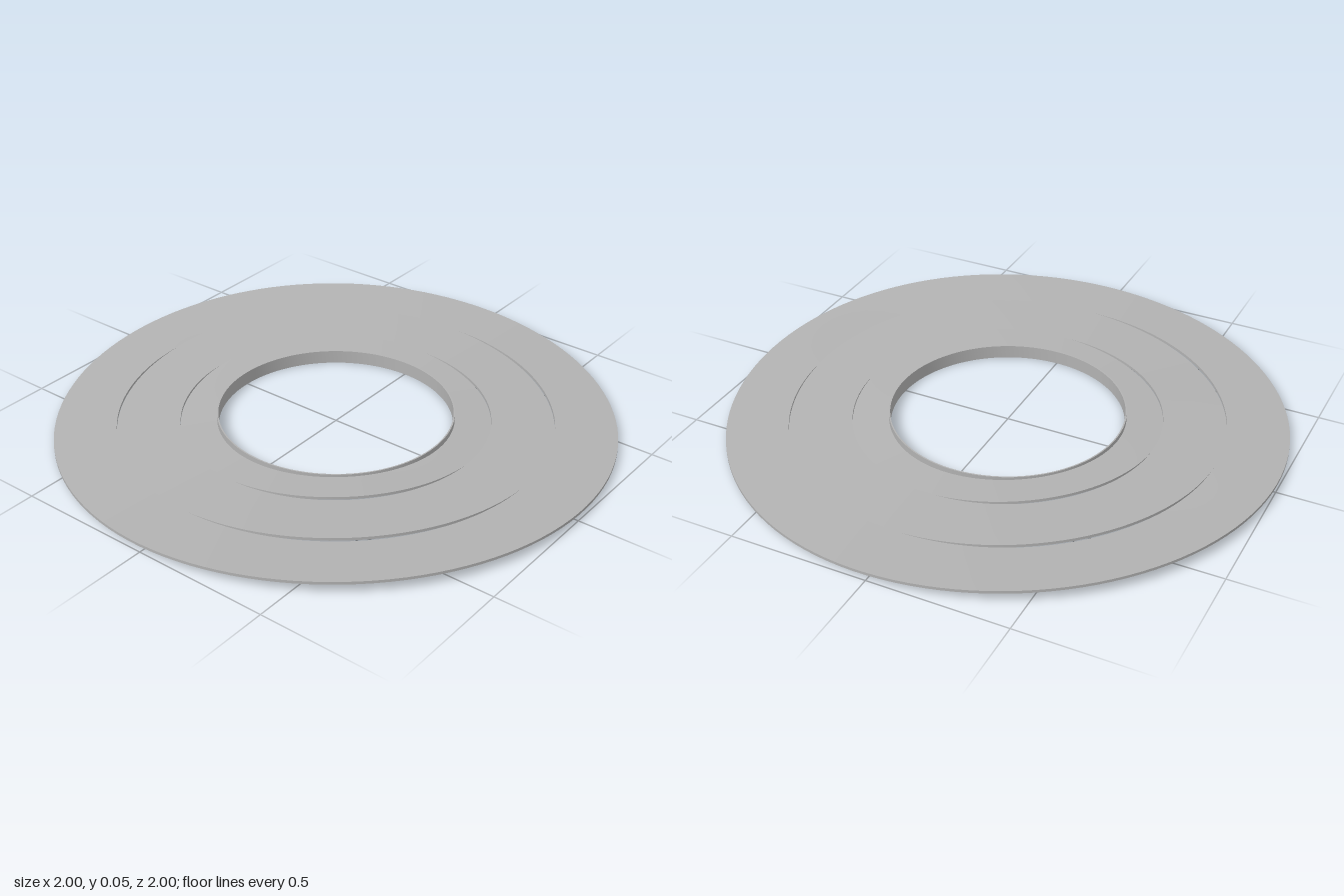
import * as THREE from 'three';
import { toCreasedNormals } from 'three/addons/utils/BufferGeometryUtils.js';

const MID = 0.0275; // height of the middle plane

// Ring with a rectangular section from bottom to top
function ringGeometry(r0, r1, bottom, top) {
  const profile = [[r0, bottom], [r1, bottom], [r1, top], [r0, top], [r0, bottom]]
    .map(([r, y]) => new THREE.Vector2(r, y));
  return new THREE.LatheGeometry(profile, 128);
}

// Thin ring bent into a shallow saddle whose rise grows from its inner to its outer edge
function saddleBand(r0, r1, rise0, rise1) {
  const g = ringGeometry(r0, r1, MID - 0.005, MID + 0.005);
  const p = g.attributes.position;
  for (let i = 0; i < p.count; i++) {
    const x = p.getX(i), z = p.getZ(i), r = Math.hypot(x, z);
    const rise = THREE.MathUtils.mapLinear(r, r0, r1, rise0, rise1);
    p.setY(i, p.getY(i) + rise * 2 * x * z / (r * r));
  }
  return g;
}

export function createModel() {
  const model = new THREE.Group();
  model.name = 'steppedRing';
  const grey = new THREE.MeshStandardMaterial({ color: 0xb2b2b2 });
  grey.name = 'plain grey';

  const add = (name, geometry) => {
    const mesh = new THREE.Mesh(toCreasedNormals(geometry, 0.6), grey);
    mesh.name = name;
    model.add(mesh);
  };

  // Three concentric bands, stepped where they meet
  add('innerBand', saddleBand(0.42, 0.555, 0.008, 0.0175));
  add('middleBand', saddleBand(0.555, 0.78, 0.005, 0.0175));
  add('outerBand', saddleBand(0.78, 1, 0.004, 0.0155));

  // Upright rim around the hole
  add('holeRim', ringGeometry(0.42, 0.425, 0, 0.05));
  return model;
}
